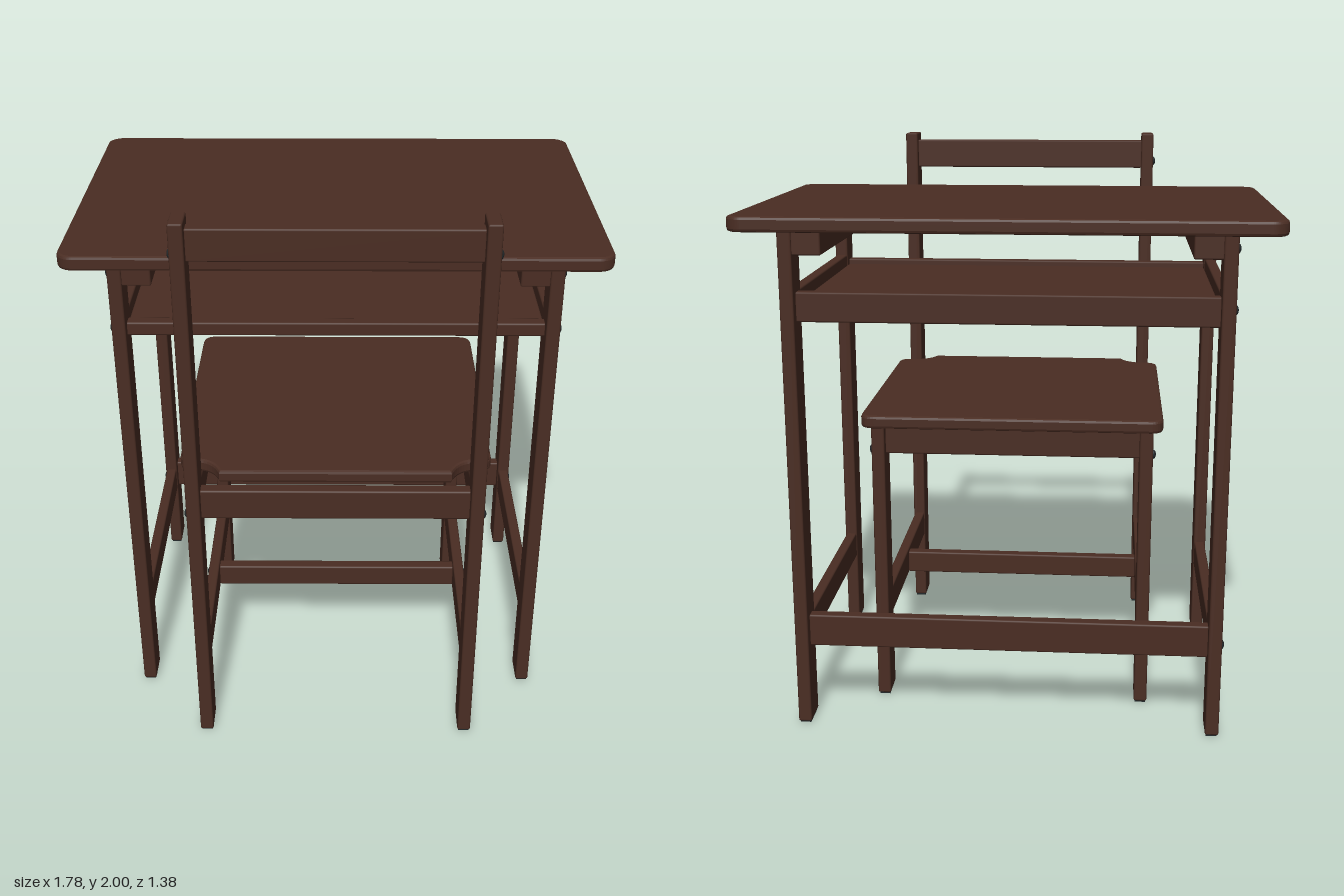
import * as THREE from 'three';
import { RoundedBoxGeometry } from 'three/addons/geometries/RoundedBoxGeometry.js';

const wood = new THREE.MeshStandardMaterial({ color: 0x4a2d23 });
wood.name = 'dark brown wood';
const steel = new THREE.MeshStandardMaterial({ color: 0x23292b });
steel.name = 'dark bolt steel';

// Softly edged board given by its extents on each axis
function board(parent, name, [x0, x1], [y0, y1], [z0, z1]) {
  const mesh = new THREE.Mesh(new RoundedBoxGeometry(x1 - x0, y1 - y0, z1 - z0, 1, 0.006), wood);
  mesh.position.set((x0 + x1) / 2, (y0 + y1) / 2, (z0 + z1) / 2);
  mesh.name = name;
  parent.add(mesh);
}

// The same board on both sides
function pair(parent, name, [x0, x1], y, z) {
  board(parent, name + 'Left', [x0, x1], y, z);
  board(parent, name + 'Right', [-x1, -x0], y, z);
}

// Flat panel cut from an outline in x and z, with bevelled edges
function panel(parent, name, shape, y0, y1, bevel = 0.01) {
  const geometry = new THREE.ExtrudeGeometry(shape, {
    depth: y1 - y0 - 2 * bevel, bevelThickness: bevel, bevelSize: bevel,
    bevelOffset: -bevel, bevelSegments: 2, curveSegments: 8,
  });
  geometry.rotateX(Math.PI / 2);
  const mesh = new THREE.Mesh(geometry, wood);
  mesh.position.y = y1 - bevel;
  mesh.name = name;
  parent.add(mesh);
}

// Domed bolt heads on the outer faces of both sides
function bolts(parent, x, places) {
  for (const [y, z] of places) {
    for (const side of [-1, 1]) {
      const geometry = new THREE.SphereGeometry(0.018, 12, 4, 0, Math.PI * 2, 0, Math.PI / 2);
      geometry.scale(1, 0.65, 1);
      const bolt = new THREE.Mesh(geometry, steel);
      bolt.rotation.z = -side * Math.PI / 2;
      bolt.position.set(side * x, y, z);
      bolt.name = 'bolt';
      parent.add(bolt);
    }
  }
}

// Dark glides under a pair of legs
function feet(parent, x, z) {
  for (const side of [-1, 1]) {
    const foot = new THREE.Mesh(new THREE.BoxGeometry(0.038, 0.01, 0.095), steel);
    foot.position.set(side * x, 0.005, z);
    foot.name = 'footGlide';
    parent.add(foot);
  }
}

function roundedRect(x, z0, z1, r) {
  const s = new THREE.Shape();
  s.moveTo(-x + r, z0);
  s.lineTo(x - r, z0);
  s.absarc(x - r, z0 + r, r, -Math.PI / 2, 0, false);
  s.lineTo(x, z1 - r);
  s.absarc(x - r, z1 - r, r, 0, Math.PI / 2, false);
  s.lineTo(-x + r, z1);
  s.absarc(-x + r, z1 - r, r, Math.PI / 2, Math.PI, false);
  s.lineTo(-x, z0 + r);
  s.absarc(-x + r, z0 + r, r, Math.PI, Math.PI * 1.5, false);
  return s;
}

// Seat outline, notched at the rear corners to clear the back posts
function seatOutline() {
  const s = new THREE.Shape();
  s.moveTo(-0.48, -0.4);
  s.lineTo(0.48, -0.4);
  s.quadraticCurveTo(0.53, -0.4, 0.53, -0.35);
  s.lineTo(0.53, 0.49);
  s.quadraticCurveTo(0.53, 0.53, 0.48, 0.53);
  s.lineTo(0.46, 0.53);
  s.quadraticCurveTo(0.41, 0.54, 0.39, 0.6);
  s.lineTo(-0.39, 0.6);
  s.quadraticCurveTo(-0.41, 0.54, -0.46, 0.53);
  s.lineTo(-0.48, 0.53);
  s.quadraticCurveTo(-0.53, 0.53, -0.53, 0.49);
  s.lineTo(-0.53, -0.35);
  s.quadraticCurveTo(-0.53, -0.4, -0.48, -0.4);
  return s;
}

function createDesk() {
  const desk = new THREE.Group();
  desk.name = 'desk';
  panel(desk, 'deskTop', roundedRect(0.89, -0.69, 0.48, 0.055), 1.755, 1.805);

  // Legs
  const leg = [0.695, 0.742];
  pair(desk, 'deskFrontLeg', leg, [0.006, 1.757], [0.303, 0.41]);
  pair(desk, 'deskBackLeg', leg, [0.006, 1.757], [-0.6, -0.49]);
  feet(desk, 0.718, 0.356);
  feet(desk, 0.718, -0.545);

  // Side rails and cleats
  pair(desk, 'topCleat', [0.6, 0.698], [1.67, 1.757], [-0.595, 0.405]);
  pair(desk, 'shelfSideRail', [0.698, 0.737], [1.445, 1.545], [-0.495, 0.308]);
  pair(desk, 'deskSideStretcher', [0.698, 0.737], [0.285, 0.385], [-0.495, 0.308]);

  // Shelf with its front lip and taller back rail
  board(desk, 'shelfFrontRail', [-0.698, 0.698], [1.478, 1.525], [0.335, 0.38]);
  board(desk, 'shelf', [-0.698, 0.698], [1.482, 1.505], [-0.53, 0.34]);
  board(desk, 'shelfBackRail', [-0.698, 0.698], [1.445, 1.545], [-0.567, -0.523]);
  board(desk, 'deskBackStretcher', [-0.698, 0.698], [0.285, 0.4], [-0.567, -0.523]);

  bolts(desk, 0.742, [[1.7, 0.36], [1.7, -0.54], [1.5, 0.36], [1.5, -0.54], [0.325, -0.54]]);
  return desk;
}

function createChair() {
  const chair = new THREE.Group();
  chair.name = 'chair';
  panel(chair, 'seat', seatOutline(), 1.036, 1.082);

  // Back posts and front legs
  const leg = [0.45, 0.497];
  pair(chair, 'backPost', leg, [0.006, 2], [0.58, 0.687]);
  pair(chair, 'chairFrontLeg', leg, [0.006, 1.038], [-0.362, -0.255]);
  feet(chair, 0.473, 0.633);
  feet(chair, 0.473, -0.308);

  // Backrest and seat frame
  board(chair, 'backrest', [-0.453, 0.453], [1.865, 1.972], [0.605, 0.655]);
  board(chair, 'seatBackRail', [-0.453, 0.453], [0.928, 1.038], [0.61, 0.655]);
  board(chair, 'seatFrontRail', [-0.453, 0.453], [0.928, 1.038], [-0.333, -0.288]);
  pair(chair, 'seatSideRail', [0.453, 0.492], [0.932, 1.038], [-0.26, 0.585]);

  // H-shaped stretchers
  pair(chair, 'chairSideStretcher', [0.453, 0.492], [0.285, 0.385], [-0.26, 0.585]);
  board(chair, 'crossStretcher', [-0.455, 0.455], [0.288, 0.372], [0.14, 0.185]);

  bolts(chair, 0.496, [[1.89, 0.645], [0.945, 0.645], [0.945, -0.33]]);
  bolts(chair, 0.491, [[0.335, 0.162]]);
  return chair;
}

export function createModel() {
  const model = new THREE.Group();
  model.name = 'schoolDeskAndChair';
  model.add(createDesk(), createChair());
  return model;
}
